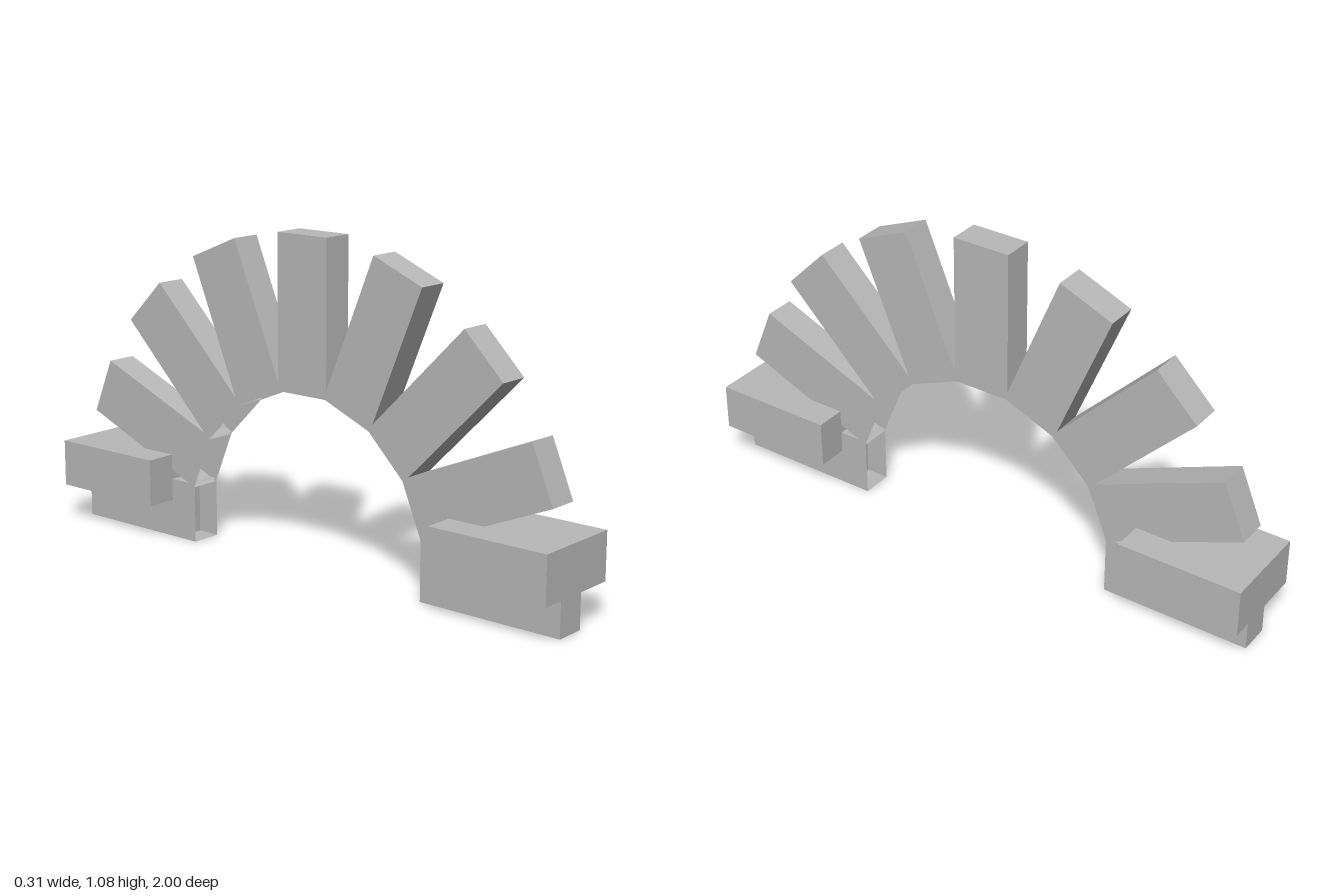
import * as THREE from 'three';

export function createModel() {
  const model = new THREE.Group();
  model.name = 'arch';
  const stone = new THREE.MeshStandardMaterial({ color: 0xb8b8b8, side: THREE.DoubleSide });
  stone.name = 'grey stone';

  // One radial block; its inner end face is sunk to leave a shallow open pocket
  const inner = 0.475, outer = 0.983, pocket = 0.08;
  const blockGeo = new THREE.BoxGeometry(0.105, outer - inner, 0.2);
  blockGeo.translate(0, (inner + outer) / 2, 0);
  const pos = blockGeo.attributes.position;
  const normal = blockGeo.attributes.normal;
  for (let i = 0; i < pos.count; i++) {
    if (normal.getY(i) < -0.5) pos.setY(i, inner + pocket);
  }

  // Nine blocks fanned over a half circle
  const ring = new THREE.Group();
  ring.name = 'archBlocks';
  ring.position.y = 0.1;
  for (let i = 0; i < 9; i++) {
    const block = new THREE.Mesh(blockGeo, stone);
    block.name = 'archBlock' + (i + 1);
    block.rotation.x = (i - 4) * Math.PI / 8;
    ring.add(block);
  }
  model.add(ring);

  // Wide slabs across the two feet
  const slabGeo = new THREE.BoxGeometry(0.313, 0.158, 0.42);
  for (const side of [1, -1]) {
    const slab = new THREE.Mesh(slabGeo, stone);
    slab.name = side > 0 ? 'frontFootSlab' : 'backFootSlab';
    slab.position.set(0, 0.206, side * 0.79);
    model.add(slab);
  }
  return model;
}
